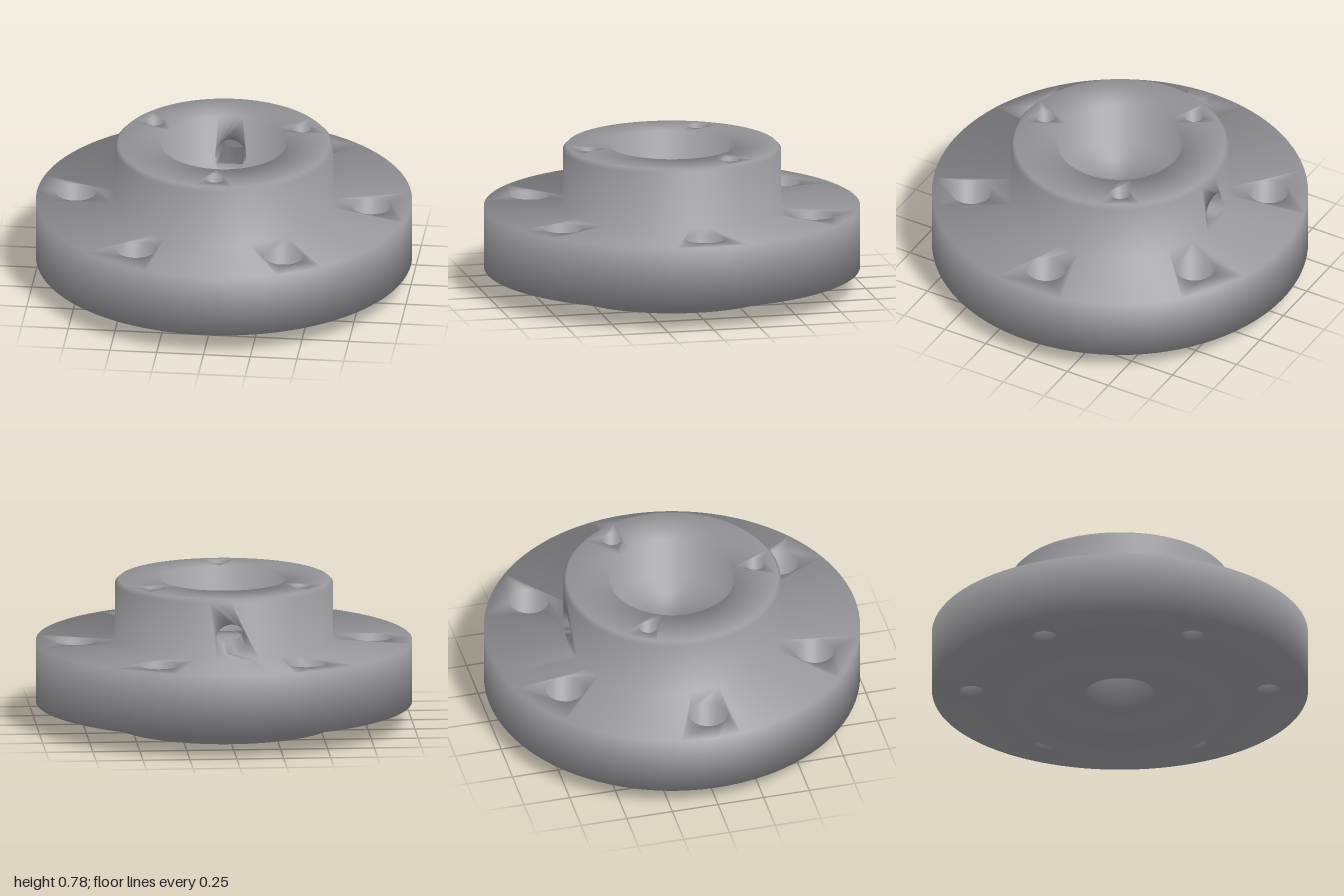
import * as THREE from 'three';

const N = 96; // segments of the main rings
const V = (x, y, z) => new THREE.Vector3(x, y, z);
const at = (k, r, y, n = N) => V(r * Math.sin(2 * Math.PI * k / n), y, r * Math.cos(2 * Math.PI * k / n));
const arc = (from, to, r, y) => Array.from({ length: to - from + 1 }, (_, i) => at(from + i, r, y));
const flat = p => new THREE.Vector2(p.x, -p.z);
const unrolled = p => new THREE.Vector2(Math.atan2(p.x, -p.z), p.y); // zero at the back
const frontal = p => new THREE.Vector2(p.x, p.y);

export function createModel() {
  const parts = {};
  let current;
  const part = name => { current = parts[name] = parts[name] || []; };

  const tri = (a, b, c) => {
    const n = b.clone().sub(a).cross(c.clone().sub(a));
    if (n.length() > 1e-9) current.push([a, b, c, n.normalize()]);
  };
  const strip = (A, B) => {
    for (let i = 0; i + 1 < A.length; i++) {
      tri(A[i], A[i + 1], B[i + 1]);
      tri(A[i], B[i + 1], B[i]);
    }
  };
  // Fills a contour with holes, facing the way the contour turns
  const face = (contour, holes, to2) => {
    const c2 = contour.map(to2), h2 = holes.map(h => h.map(to2));
    const all = contour.concat(...holes), all2 = c2.concat(...h2);
    const sign = Math.sign(THREE.ShapeUtils.area(c2));
    for (const [a, b, c] of THREE.ShapeUtils.triangulateShape(c2, h2)) {
      const s = THREE.ShapeUtils.area([all2[a], all2[b], all2[c]]);
      if (s * sign > 0) tri(all[a], all[b], all[c]);
      else tri(all[a], all[c], all[b]);
    }
  };
  // Full revolved band; segments within `half` of each centre are left for patches
  const band = ([r1, y1], [r2, y2], centres = [], half = 0, fill = null) => {
    for (let k = 0; k < N; k++) {
      const open = centres.some(c => [c, c + N].some(m => k >= m - half && k < m + half));
      if (!open) strip(arc(k, k + 1, r1, y1), arc(k, k + 1, r2, y2));
    }
    for (const c of centres) {
      fill(c, arc(c - half, c + half, r1, y1), arc(c - half, c + half, r2, y2).reverse());
    }
  };
  const circle = (centre, r, y, n) =>
    Array.from({ length: n + 1 }, (_, i) => at(i % n, r, y, n).add(V(centre.x, 0, centre.z)));
  const bored = (R, r, y, n) => (c, A, B) =>
    face([...A, ...B], [circle(at(c, R, 0), r, y, n).slice(0, n)], flat);
  const drill = (c, R, profile, n) => {
    const rings = profile.map(([r, y]) => circle(at(c, R, 0), r, y, n));
    for (let i = 0; i + 1 < rings.length; i++) strip(rings[i], rings[i + 1]);
  };

  const bolts = [8, 24, 40, 56, 72, 88], pins = [0, 32, 64], back = [48];
  const boltR = 0.79, pinR = 0.455;
  const hubR = 0.58, boreR = 0.335, floorY = 0.53, grooveZ = -0.28;

  // Radial port: upper arc opens into the bore, lower arc runs on as a groove
  const portR = 0.08, portY = 0.565;
  const t0 = Math.asin((floorY - portY) / portR);
  const portArc = (from, to, n, z) => Array.from({ length: n + 1 }, (_, i) => {
    const t = from + (to - from) * i / n, x = portR * Math.cos(t);
    return V(x, portY + portR * Math.sin(t), z(x));
  });
  const onCylinder = r => x => -Math.sqrt(r * r - x * x);
  const upper = z => portArc(t0, Math.PI - t0, 18, z);
  const lower = z => portArc(Math.PI - t0, 2 * Math.PI + t0, 10, z);
  const upOut = upper(onCylinder(hubR)), upIn = upper(onCylinder(boreR));
  const lowOut = lower(onCylinder(hubR)), lowIn = lower(() => grooveZ);

  // Lower spigot with its recess
  part('spigot');
  band([0.183, 0.1], [0.394, 0.1]);
  band([0.394, 0.1], [0.394, 0]);
  band([0.394, 0], [0.597, 0]);
  band([0.597, 0], [0.597, 0.115]);

  // Wide flange
  part('flange');
  band([0.597, 0.115], [1, 0.115], bolts, 3, bored(boltR, 0.063, 0.115, 32));
  band([1, 0.115], [1, 0.45]);
  band([1, 0.45], [hubR, 0.45], bolts, 3, bored(boltR, 0.105, 0.45, 32));

  // Counterbored bolt holes
  part('boltHoles');
  for (const c of bolts) drill(c, boltR, [[0.105, 0.45], [0.105, 0.27], [0.063, 0.27], [0.063, 0.115]], 32);

  // Hub wall, chamfer and top rim
  part('hub');
  band([hubR, 0.45], [hubR, 0.76], back, 4, (c, A, B) =>
    face([...A, ...B], [[...upOut, ...lowOut.slice(1, -1)]], unrolled));
  band([hubR, 0.76], [0.56, 0.78]);
  band([0.56, 0.78], [boreR, 0.78], pins, 3, bored(pinR, 0.05, 0.78, 24));

  // Blind holes in the rim
  part('pinHoles');
  for (const c of pins) drill(c, pinR, [[0.05, 0.78], [0.05, 0.58], [0, 0.58]], 24);

  // Stepped central bore
  part('bore');
  band([boreR, 0.78], [boreR, floorY], back, 4, (c, A, B) =>
    face([...A, B[0], ...upIn.slice().reverse(), B[B.length - 1]], [], unrolled));
  band([boreR, floorY], [0.183, floorY], back, 4, (c, A, B) =>
    face([A[0], upIn[0], lowIn[lowIn.length - 1], lowIn[0], upIn[upIn.length - 1],
      A[A.length - 1], ...B], [], flat));
  band([0.183, floorY], [0.183, 0.1]);

  // Port through the back of the hub
  part('radialPort');
  strip(upIn, upOut);
  strip(lowIn, lowOut);
  face(lowIn.slice().reverse(), [], frontal);

  // Smooth normals shared over the whole casting, weighted by corner angle
  const normals = new Map();
  const key = p => [p.x, p.y, p.z].map(v => Math.round(v * 5000) + 0).join();
  for (const list of Object.values(parts)) {
    for (const t of list) {
      for (let i = 0; i < 3; i++) {
        const p = t[i], e = t[(i + 1) % 3].clone().sub(p), f = t[(i + 2) % 3].clone().sub(p);
        const k = key(p);
        if (!normals.has(k)) normals.set(k, V(0, 0, 0));
        normals.get(k).addScaledVector(t[3], e.angleTo(f));
      }
    }
  }

  const steel = new THREE.MeshStandardMaterial({ color: 0x97979c });
  steel.name = 'steelGrey';
  const group = new THREE.Group();
  group.name = 'flangedHub';
  for (const [name, list] of Object.entries(parts)) {
    const pos = [], nor = [];
    for (const t of list) {
      for (let i = 0; i < 3; i++) {
        const n = normals.get(key(t[i])).clone().normalize();
        pos.push(t[i].x, t[i].y, t[i].z);
        nor.push(n.x, n.y, n.z);
      }
    }
    const g = new THREE.BufferGeometry();
    g.setAttribute('position', new THREE.Float32BufferAttribute(pos, 3));
    g.setAttribute('normal', new THREE.Float32BufferAttribute(nor, 3));
    const mesh = new THREE.Mesh(g, steel);
    mesh.name = name;
    group.add(mesh);
  }
  return group;
}
